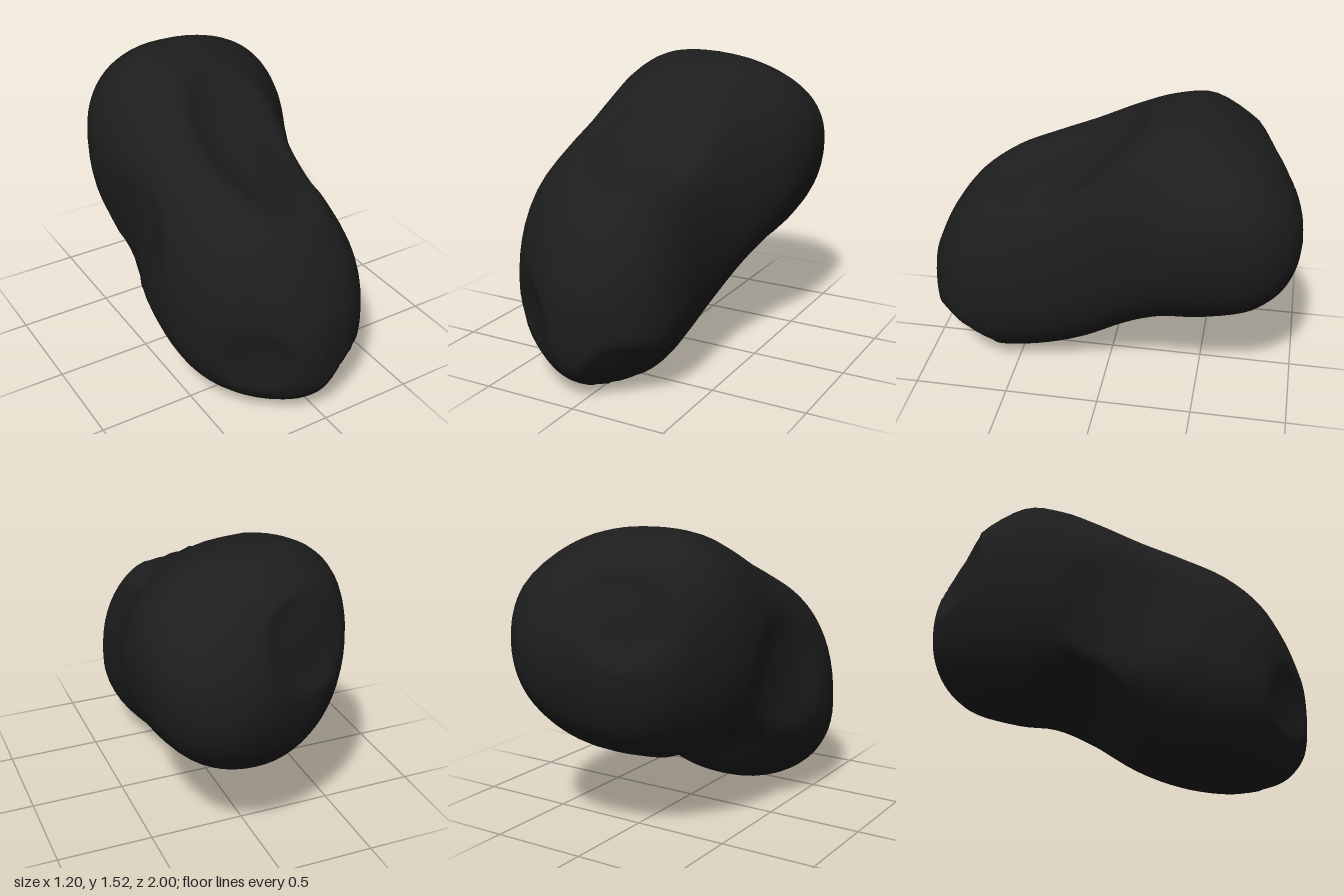
import * as THREE from 'three';
import { mergeVertices } from 'three/addons/utils/BufferGeometryUtils.js';

// Cross-sections along the body: z, xLeft, xRight, yBottom, yTop, apexX, sideY
const SECTIONS = [
  [1.0, -0.03, -0.03, 0.42, 0.42, -0.03, 0.42],
  [0.985, -0.12, 0.06, 0.24, 0.57, -0.03, 0.42],
  [0.95, -0.21, 0.17, 0.15, 0.67, -0.03, 0.42],
  [0.87, -0.33, 0.28, 0.07, 0.84, -0.04, 0.43],
  [0.74, -0.48, 0.36, 0.02, 1.01, -0.06, 0.44],
  [0.56, -0.575, 0.385, 0.0, 1.14, -0.08, 0.47],
  [0.34, -0.6, 0.38, 0.03, 1.24, -0.08, 0.54],
  [0.12, -0.595, 0.4, 0.12, 1.34, -0.05, 0.66],
  [-0.1, -0.58, 0.48, 0.26, 1.44, -0.06, 0.81],
  [-0.3, -0.57, 0.57, 0.35, 1.5, -0.1, 0.94],
  [-0.5, -0.54, 0.6, 0.375, 1.52, -0.08, 1.02],
  [-0.73, -0.42, 0.57, 0.46, 1.42, 0.02, 1.02],
  [-0.86, -0.25, 0.5, 0.57, 1.3, 0.1, 0.98],
  [-0.94, -0.06, 0.41, 0.69, 1.17, 0.17, 0.95],
  [-0.985, 0.07, 0.3, 0.81, 1.05, 0.19, 0.93],
  [-1.0, 0.19, 0.19, 0.93, 0.93, 0.19, 0.93],
];

// Craters: centre, radii along x, y, z, push direction and depth
const CRATERS = [
  { at: [0.02, 1.24, 0.26], size: [0.28, 0.9, 0.48], push: [-0.05, -0.9, -0.4], depth: 0.13 },
  { at: [-0.32, 0.38, 0.84], size: [0.19, 0.18, 0.25], push: [0.3, 0.2, -0.9], depth: 0.04 },
  { at: [0.2, 0.14, 0.84], size: [0.21, 0.2, 0.24], push: [-0.4, 0.6, -0.6], depth: 0.045 },
  { at: [-0.58, 0.77, 0.03], size: [0.3, 0.32, 0.35], push: [1, 0, 0], depth: 0.06 },
  { at: [-0.2, 0.36, -0.18], size: [0.36, 0.28, 0.28], push: [0.2, 0.95, 0.1], depth: 0.09 },
  { at: [-0.17, 1.15, -0.83], size: [0.27, 0.24, 0.25], push: [0.45, -0.25, 0.85], depth: 0.06 },
];

const RINGS = 60;
const SIDES = 56;

// Smooth interpolation between neighbouring cross-sections
function sectionAt(t) {
  const last = SECTIONS.length - 1;
  const i = Math.min(Math.floor(t), last - 1);
  const f = t - i;
  const row = (k) => SECTIONS[THREE.MathUtils.clamp(k, 0, last)];
  const [a, b, c, d] = [row(i - 1), row(i), row(i + 1), row(i + 2)];
  return b.map((p, k) => {
    const m0 = (c[k] - a[k]) / 2;
    const m1 = (d[k] - p) / 2;
    const e = c[k] - p;
    return p + f * (m0 + f * (3 * e - 2 * m0 - m1 + f * (m0 + m1 - 2 * e)));
  });
}

// Squarer shoulders above, rounder belly below
const soften = (v, power) => Math.sign(v) * Math.abs(v) ** power;

// Push a surface point inwards where it lies in a crater
function dent(p) {
  const offset = new THREE.Vector3();
  for (const { at, size, push, depth } of CRATERS) {
    const d2 = ((p.x - at[0]) / size[0]) ** 2 + ((p.y - at[1]) / size[1]) ** 2 + ((p.z - at[2]) / size[2]) ** 2;
    if (d2 < 1) offset.addScaledVector(new THREE.Vector3(...push).normalize(), depth * (1 - d2 ** 1.5));
  }
  return p.add(offset);
}

function rockGeometry() {
  const positions = [];
  const index = [];
  for (let i = 0; i <= RINGS; i++) {
    const [z, xl, xr, yb, yt, xc, yc] = sectionAt((i / RINGS) * (SECTIONS.length - 1));
    for (let j = 0; j < SIDES; j++) {
      const angle = (j / SIDES) * Math.PI * 2;
      const power = angle < Math.PI ? 0.87 : 0.96;
      const c = soften(Math.cos(angle), power);
      const s = soften(Math.sin(angle), power);
      const p = new THREE.Vector3(xc + c * (c > 0 ? xr - xc : xc - xl), yc + s * (s > 0 ? yt - yc : yc - yb), z);
      positions.push(...dent(p).toArray());
      if (i < RINGS) {
        const a = i * SIDES + j;
        const b = i * SIDES + ((j + 1) % SIDES);
        index.push(a, a + SIDES, b, b, a + SIDES, b + SIDES);
      }
    }
  }
  let geometry = new THREE.BufferGeometry();
  geometry.setAttribute('position', new THREE.Float32BufferAttribute(positions, 3));
  geometry.setIndex(index);
  geometry = mergeVertices(geometry, 1e-4);
  geometry.computeVertexNormals();
  return geometry;
}

export function createModel() {
  const model = new THREE.Group();
  model.name = 'asteroid';
  const charcoal = new THREE.MeshStandardMaterial({ color: 0x1d1d1d });
  charcoal.name = 'charcoal rock';
  const rock = new THREE.Mesh(rockGeometry(), charcoal);
  rock.name = 'crateredRock';
  model.add(rock);
  return model;
}
